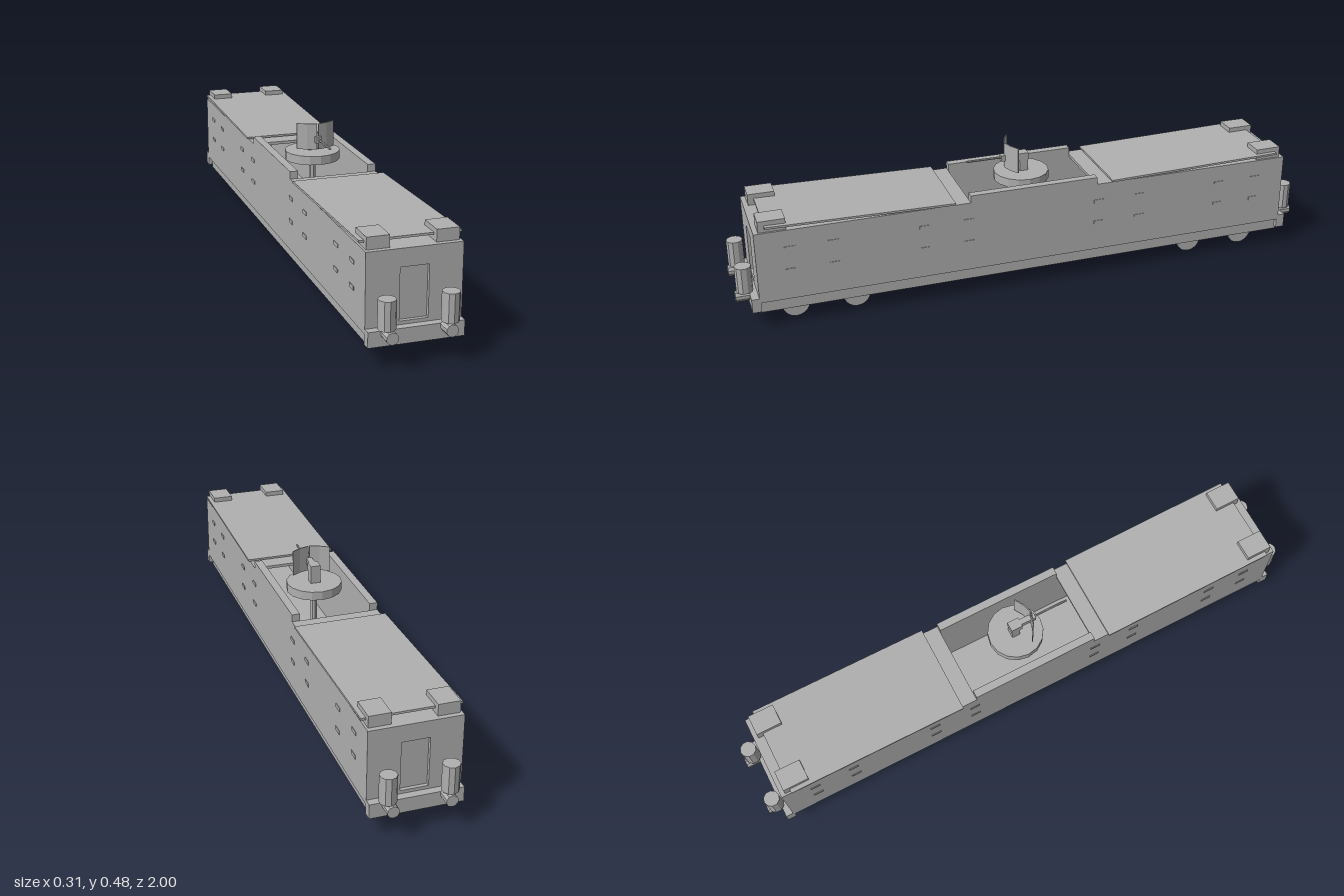
import * as THREE from 'three';

export function createModel() {
  const model = new THREE.Group();
  model.name = 'armouredWagon';
  const grey = new THREE.MeshStandardMaterial({ color: 0xb0b0b0, flatShading: true });
  grey.name = 'plain grey';

  const add = (name, geo, x = 0, y = 0, z = 0, parent = model) => {
    const mesh = new THREE.Mesh(geo, grey);
    mesh.name = name;
    mesh.position.set(x, y, z);
    parent.add(mesh);
    return mesh;
  };
  // box given by its limits on each axis
  const box = (name, x0, x1, y0, y1, z0, z1, parent = model) =>
    add(name, new THREE.BoxGeometry(x1 - x0, y1 - y0, z1 - z0),
      (x0 + x1) / 2, (y0 + y1) / 2, (z0 + z1) / 2, parent);

  // underframe and floor
  box('underframe', -0.132, 0.132, 0.057, 0.1, -0.93, 0.93);
  box('floor', -0.147, 0.147, 0.1, 0.112, -0.925, 0.925);

  // side walls, higher around the open gun pit, with loophole covers
  for (const s of [-1, 1]) {
    const side = new THREE.Group();
    side.name = s > 0 ? 'leftSide' : 'rightSide';
    model.add(side);
    const wall = new THREE.Shape();
    [[-0.93, 0.1], [0.93, 0.1], [0.93, 0.345], [0.222, 0.345], [0.222, 0.37],
      [-0.222, 0.37], [-0.222, 0.345], [-0.93, 0.345]]
      .forEach(([z, y], i) => (i ? wall.lineTo(-z, y) : wall.moveTo(-z, y)));
    const geo = new THREE.ExtrudeGeometry(wall, { depth: 0.027, bevelEnabled: false });
    geo.rotateY(Math.PI / 2);
    add('sideWall', geo, s > 0 ? 0.12 : -0.147, 0, 0, side);
    for (const z of [0.82, 0.68, 0.38, 0.23])
      for (const e of [-1, 1])
        for (const y of [0.282, 0.203])
          add('loopholeCover', new THREE.BoxGeometry(0.003, 0.012, 0.035), s * 0.1475, y, e * z, side);
  }

  // one end of the wagon, built twice
  for (const turn of [0, Math.PI]) {
    const end = new THREE.Group();
    end.name = turn ? 'backEnd' : 'frontEnd';
    end.rotation.y = turn;
    model.add(end);

    // end wall with recessed door
    const plate = new THREE.Shape([[-0.12, 0.1], [0.12, 0.1], [0.12, 0.345], [-0.12, 0.345]]
      .map(p => new THREE.Vector2(...p)));
    plate.holes.push(new THREE.Path([[-0.044, 0.127], [-0.044, 0.289], [0.044, 0.289], [0.044, 0.127]]
      .map(p => new THREE.Vector2(...p))));
    add('endWall', new THREE.ExtrudeGeometry(plate, { depth: 0.012, bevelEnabled: false }), 0, 0, 0.918, end);
    box('door', -0.05, 0.05, 0.12, 0.295, 0.906, 0.918, end);

    // roof and the sloping cover above it
    box('roof', -0.12, 0.12, 0.335, 0.345, 0.222, 0.93, end);
    const cover = add('roofCover', new THREE.BoxGeometry(0.31, 0.007, 0.62), 0, 0.358, 0.585, end);
    cover.rotation.x = -0.021;

    // buffer beam
    box('bufferBeam', -0.147, 0.147, 0.068, 0.116, 0.925, 0.955, end);

    for (const s of [-1, 1]) {
      add('roofCornerBlock', new THREE.BoxGeometry(0.07, 0.04, 0.088), s * 0.105, 0.363, 0.87, end);
      // buffer and upright cylinder above it
      const buffer = new THREE.CylinderGeometry(0.019, 0.019, 0.046, 10);
      buffer.rotateX(Math.PI / 2);
      add('buffer', buffer, s * 0.09, 0.108, 0.977, end);
      add('uprightCylinder', new THREE.CylinderGeometry(0.027, 0.027, 0.09, 10), s * 0.096, 0.172, 0.968, end);
      // wheels and their side bar
      for (const z of [0.605, 0.808]) {
        const wheel = new THREE.CylinderGeometry(0.045, 0.045, 0.013, 20);
        wheel.rotateZ(Math.PI / 2);
        add('wheel', wheel, s * 0.084, 0.045, z, end);
      }
      add('bogieBar', new THREE.BoxGeometry(0.02, 0.014, 0.28), s * 0.1, 0.051, 0.706, end);
    }
  }

  // gun on its turntable
  const gun = new THREE.Group();
  gun.name = 'gun';
  model.add(gun);
  add('turntable', new THREE.CylinderGeometry(0.094, 0.094, 0.03, 16), 0, 0.358, 0, gun);
  add('pedestal', new THREE.CylinderGeometry(0.012, 0.012, 0.24, 8), 0, 0.228, 0, gun);
  box('gunPost', -0.017, 0.017, 0.37, 0.415, -0.02, 0.008, gun);
  box('breech', -0.017, 0.017, 0.41, 0.436, -0.022, 0.018, gun);
  box('cradle', -0.01, 0.01, 0.413, 0.434, 0.01, 0.072, gun);
  const barrel = new THREE.CylinderGeometry(0.004, 0.004, 0.13, 8);
  barrel.rotateX(Math.PI / 2);
  add('barrel', barrel, 0, 0.425, 0.127, gun);

  // folded shield halves with a slot between them
  for (const s of [-1, 1]) {
    const outline = [[0.002, 0.06], [0.035, 0.05], [0.065, 0.032], [0.065, 0.028], [0.035, 0.046], [0.002, 0.056]];
    const shape = new THREE.Shape(outline.map(([x, z]) => new THREE.Vector2(s * x, -z)));
    const geo = new THREE.ExtrudeGeometry(shape, { depth: 0.089, bevelEnabled: false });
    geo.rotateX(-Math.PI / 2);
    add(s > 0 ? 'leftShield' : 'rightShield', geo, 0, 0.388, 0, gun);
  }

  return model;
}
